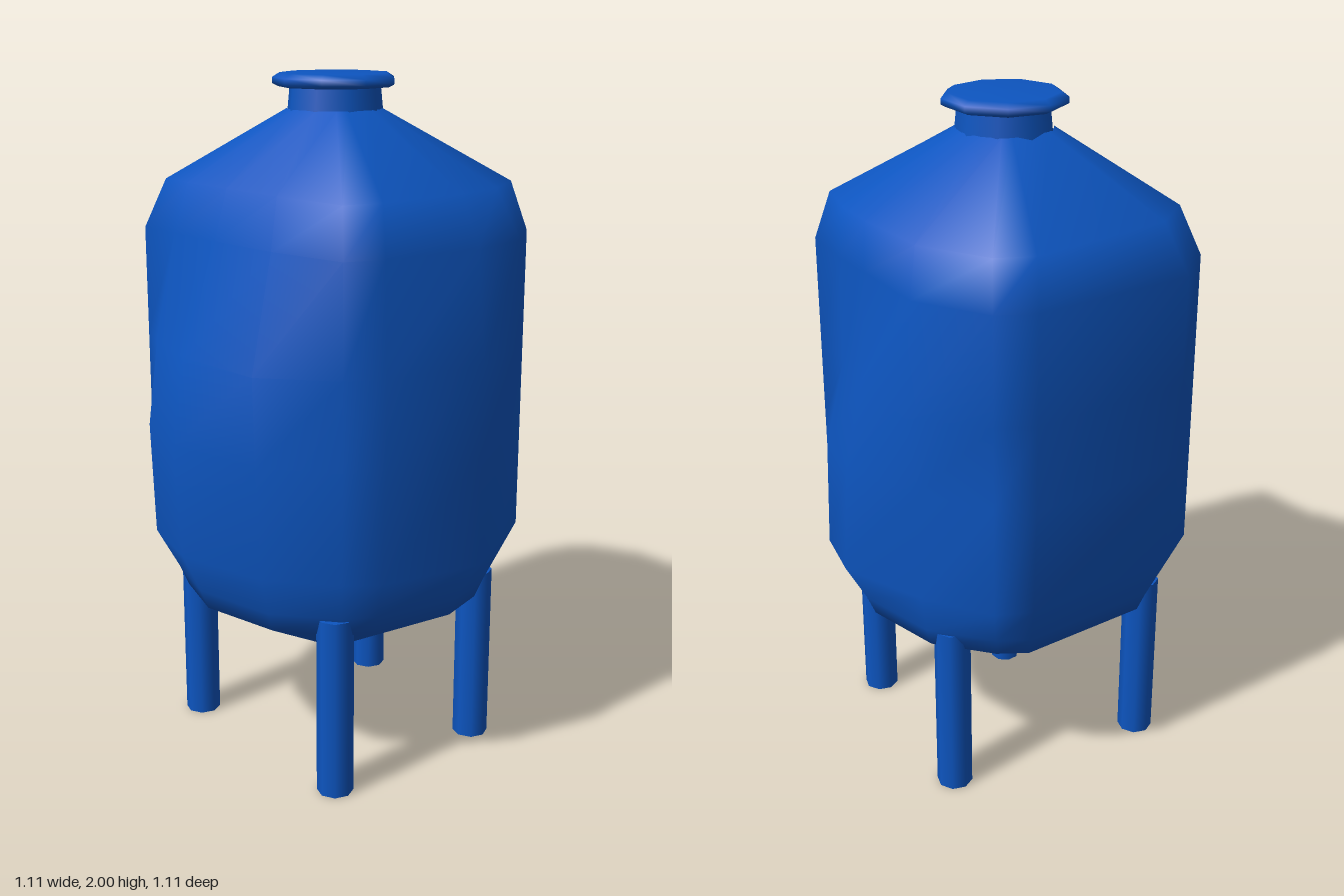
import * as THREE from 'three';

// Column angles in degrees, from +x towards +z; uneven, so the wall gets broad flats
const COLUMNS = [0, 20, 53, 65, 90, 122, 147, 160, 180, 233, 245, 270, 301, 320, 340];

// Skin closed rings of radii with smooth normals
function loft(rings) {
  const n = COLUMNS.length, pos = [], idx = [];
  for (const [y, r] of rings) {
    COLUMNS.forEach((deg, j) => {
      const a = THREE.MathUtils.degToRad(deg);
      const rad = Array.isArray(r) ? r[j] : r;
      pos.push(Math.cos(a) * rad, y, Math.sin(a) * rad);
    });
  }
  for (let i = 0; i < rings.length - 1; i++) {
    for (let j = 0; j < n; j++) {
      const a = i * n + j, b = i * n + (j + 1) % n;
      idx.push(a, a + n, b, b, a + n, b + n);
    }
  }
  const g = new THREE.BufferGeometry();
  g.setAttribute('position', new THREE.Float32BufferAttribute(pos, 3));
  g.setIndex(idx);
  g.computeVertexNormals();
  return g;
}

export function createModel() {
  const group = new THREE.Group();
  const blue = new THREE.MeshStandardMaterial({ color: 0x0d55c0 });
  blue.name = 'tankBlue';

  const add = (name, geometry, x = 0, y = 0, z = 0) => {
    const mesh = new THREE.Mesh(geometry, blue);
    mesh.name = name;
    mesh.position.set(x, y, z);
    group.add(mesh);
    return mesh;
  };

  // Dented tank shell: hopper bottom, uneven wall, sloping shoulder
  add('tankBody', loft([
    [0.27, 0.05],
    [0.49, 0.45],
    [0.55, 0.475],
    [0.67, [0.52, 0.55, 0.53, 0.52, 0.52, 0.53, 0.54, 0.55, 0.52, 0.52, 0.53, 0.50, 0.54, 0.54, 0.55]],
    [1.00, [0.52, 0.55, 0.55, 0.55, 0.545, 0.55, 0.55, 0.55, 0.555, 0.55, 0.54, 0.50, 0.52, 0.53, 0.55]],
    [1.25, [0.55, 0.55, 0.55, 0.55, 0.555, 0.51, 0.52, 0.55, 0.555, 0.555, 0.55, 0.555, 0.46, 0.47, 0.55]],
    [1.56, [0.55, 0.52, 0.53, 0.55, 0.43, 0.40, 0.46, 0.55, 0.555, 0.55, 0.555, 0.51, 0.44, 0.47, 0.55]],
    [1.70, [0.48, 0.46, 0.50, 0.53, 0.39, 0.36, 0.42, 0.485, 0.48, 0.52, 0.53, 0.48, 0.43, 0.45, 0.50]],
    [1.90, 0.135],
  ]));

  // Outlet under the hopper
  add('outlet', new THREE.CylinderGeometry(0.05, 0.042, 0.11, 8), 0, 0.245, 0);

  // Filler neck and lid with a bevelled rim
  add('neck', new THREE.CylinderGeometry(0.13, 0.14, 0.1, 9), 0, 1.92, 0);
  const lidProfile = [[0, 1.955], [0.16, 1.96], [0.176, 1.968], [0.176, 1.985], [0.155, 1.998], [0, 2]]
    .map(([r, y]) => new THREE.Vector2(r, y));
  add('lid', new THREE.LatheGeometry(lidProfile, 9)).rotation.y = 0.2;

  // Four rounded legs, running up into the shell
  const legs = [[0.17, 0.4], [0.42, -0.09], [-0.05, -0.415], [-0.42, 0.095]];
  for (const [x, z] of legs) {
    add('leg', new THREE.CylinderGeometry(0.053, 0.053, 0.54, 8), x, 0.27, z).rotation.y = Math.PI / 8;
  }

  return group;
}
